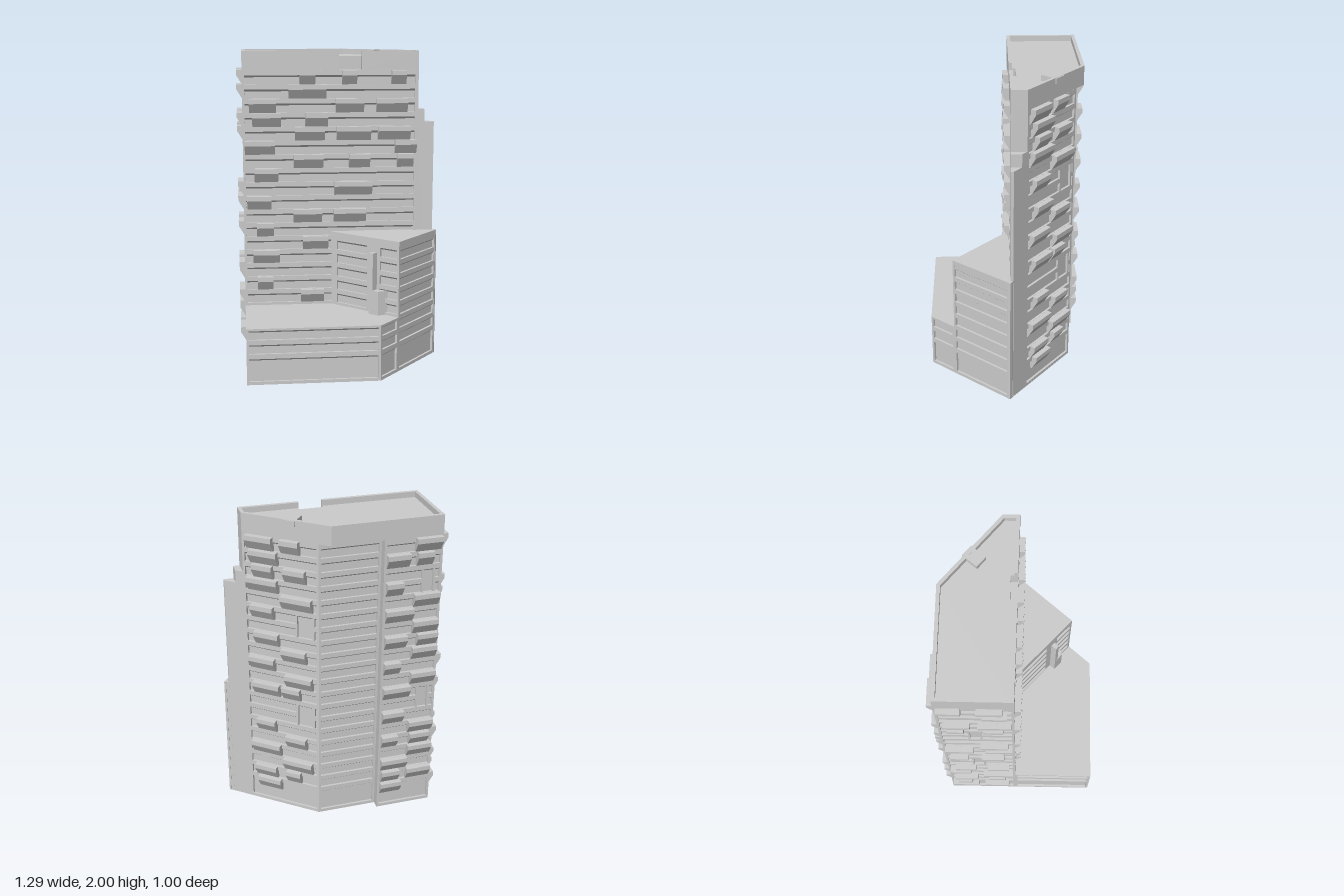
import * as THREE from 'three';

const mat = new THREE.MeshStandardMaterial({ color: 0xcccccc, flatShading: true, side: THREE.DoubleSide });
const D = 0.015;                              // depth of the window strips
const rowTop = k => 1.936 - 0.0886 * k;       // top of the window strip on floor k
const rowBottom = k => (k === 20 ? 0.02 : rowTop(k) - 0.058);

function add(parent, geo, name) {
  const m = new THREE.Mesh(geo, mat);
  m.name = name;
  parent.add(m);
  return m;
}

// upright prism over a plan of [x, z] points
function prism(parent, plan, y0, y1, name) {
  const shape = new THREE.Shape(plan.map(([x, z]) => new THREE.Vector2(x, -z)));
  const geo = new THREE.ExtrudeGeometry(shape, { depth: y1 - y0, bevelEnabled: false });
  return add(parent, geo.rotateX(-Math.PI / 2).translate(0, y0, 0), name);
}

// profile of [z, y] points swept along a wall from u0 to u1
function sweep(parent, profile, u0, u1, name) {
  const shape = new THREE.Shape(profile.map(([z, y]) => new THREE.Vector2(-z, y)));
  const geo = new THREE.ExtrudeGeometry(shape, { depth: u1 - u0, bevelEnabled: false });
  return add(parent, geo.rotateY(Math.PI / 2).translate(u0, 0, 0), name);
}

// wall from p to q (outside on the right-hand side), with window strips,
// two-storey openings [u0, u1, floor] and wedge balconies [floor, u0, u1]
function facade(parent, name, p, q, y0, y1, opt = {}) {
  const { rows = [], spans, tall = [], balconies = [], depth = D } = opt;
  const dx = q[0] - p[0], dz = q[1] - p[1], L = Math.hypot(dx, dz);
  const g = new THREE.Group();
  g.name = name;
  g.position.set(p[0], 0, p[1]);
  g.rotation.y = Math.atan2(-dz, dx);
  parent.add(g);

  const rect = (u0, u1, a, b) => [[u0, a], [u1, a], [u1, b], [u0, b]].map(v => new THREE.Vector2(...v));
  const holes = [];
  for (const k of rows) {
    let parts = spans || [[0.015, L - 0.015]];
    for (const [a, b, t] of tall) {
      if (k === t || k === t + 1) parts = parts.flatMap(([s, e]) => [[s, a - 0.012], [b + 0.012, e]]);
    }
    for (const [s, e] of parts) holes.push([s, e, rowBottom(k), rowTop(k)]);
  }
  for (const [a, b, t] of tall) holes.push([a, b, rowBottom(t + 1), rowTop(t)]);

  const shape = new THREE.Shape(rect(0, L, y0, y1));
  for (const h of holes) shape.holes.push(new THREE.Path(rect(...h)));
  add(g, new THREE.ExtrudeGeometry(shape, { depth, bevelEnabled: false }).translate(0, 0, -depth), 'wallPanel');

  for (const [s, e, b, t] of holes) {
    add(g, new THREE.PlaneGeometry(e - s, t - b).translate((s + e) / 2, (t + b) / 2, -D), 'windowStrip');
    sweep(g, [[0, t], [-D, t], [-D, t - 0.012]], s, e, 'slopedLintel');
  }
  for (const [k, s, e] of balconies) {
    const t = rowTop(k);
    sweep(g, [[-D, t + 0.03], [0.035, t + 0.03], [0.035, t], [0, t - 0.058], [-D, t - 0.058]], s, e, 'balcony');
  }
  return g;
}

const range = (a, b) => Array.from({ length: b - a + 1 }, (_, i) => a + i);

export function createModel() {
  const model = new THREE.Group();
  model.name = 'apartmentTower';
  const tower = new THREE.Group(), podium = new THREE.Group(), wing = new THREE.Group();
  tower.name = 'tower'; podium.name = 'podium'; wing.name = 'cornerWing';
  model.add(tower, podium, wing);

  // ---- tower walls below the crown ----
  const floors = range(1, 20), H = 1.88;
  const FL = [-0.612, -0.025], FR = [0.51, -0.013], SR = [0.51, -0.112];
  const SB = [0.13, -0.42], M = [-0.25, -0.42], N = [-0.25, -0.47], BL = [-0.612, -0.47];

  const frontBalconies = [
    [1, -0.25, -0.15], [1, 0.02, 0.115], [1, 0.335, 0.43], [2, -0.32, -0.08],
    [3, -0.57, -0.4], [3, -0.02, 0.16], [3, 0.24, 0.44], [4, -0.55, -0.37], [4, -0.215, -0.07],
    [5, -0.28, -0.09], [5, -0.015, 0.205], [5, 0.25, 0.46], [6, -0.6, -0.41], [6, 0.36, 0.5],
    [7, -0.29, -0.1], [7, 0.065, 0.2], [7, 0.375, 0.48], [8, -0.54, -0.39], [9, -0.03, 0.215],
    [10, -0.59, -0.435], [11, -0.295, -0.11], [11, -0.035, 0.175], [12, -0.53, -0.42],
    [13, -0.235, -0.07], [14, -0.555, -0.385], [16, -0.53, -0.43], [17, -0.25, -0.1],
  ].map(([k, a, b]) => [k, a + 0.612, b + 0.612]);
  facade(tower, 'frontWall', FL, FR, 0, H, { rows: floors, spans: [[0.015, 1.1]], balconies: frontBalconies });
  facade(tower, 'endWall', FR, SR, 0, H);

  const slantBalconies = [
    ...[1, 2, 3, 4, 6, 8, 10, 12, 15, 17, 19, 20].map((k, i) => [k, 0.03 + (i % 3) * 0.02, 0.2 + (i % 2) * 0.03]),
    ...[1, 3, 5, 7, 9, 11, 12, 16, 18, 19].map((k, i) => [k, 0.25 + (i % 2) * 0.02, 0.37 + (i % 3) * 0.04]),
  ].filter(([k, a]) => !(k === 7 && a > 0.2));
  facade(tower, 'slantedWall', SR, SB, 0, H, {
    rows: floors, tall: [[0.35, 0.45, 6], [0.35, 0.45, 13]], balconies: slantBalconies,
  });
  facade(tower, 'recessedBackWall', SB, M, 0, H, { rows: floors });
  facade(tower, 'recessCheek', M, N, 0, H);
  const backBalconies = floors.map((k, i) => (i % 2 ? [k, 0.015, 0.12 + (i % 3) * 0.035] : [k, 0.19, 0.35]))
    .filter(([k, a]) => a < 0.1 || ![3, 4, 12, 13].includes(k));
  backBalconies.push([2, 0.2, 0.3], [8, 0.22, 0.35], [16, 0.2, 0.33], [19, 0.02, 0.14]);
  facade(tower, 'backWall', N, BL, 0, H, {
    rows: floors, tall: [[0.25, 0.31, 3], [0.25, 0.31, 12]], balconies: backBalconies,
  });
  const sideBalconies = [
    ...[1, 2, 4, 5, 9, 10, 12, 15, 17, 18, 20].map((k, i) => [k, 0.235 + (i % 2) * 0.03, 0.38 + (i % 3) * 0.025]),
    ...[1, 4, 5, 10, 12, 15, 16, 18, 19, 20].map((k, i) => [k, 0.015 + (i % 3) * 0.02, 0.15 + (i % 2) * 0.04]),
  ];
  facade(tower, 'sideWall', BL, FL, 0, H, {
    rows: floors, tall: [[0.18, 0.24, 6], [0.18, 0.24, 13]], balconies: sideBalconies,
  });
  prism(tower, [[-0.6, -0.037], [0.5, -0.025], [0.5, -0.11], [0.125, -0.41], [-0.26, -0.41], [-0.26, -0.46], [-0.6, -0.46]],
    1.865, H, 'topFloorSlab');

  // stepped sharp tip
  prism(tower, [[0.5, -0.013], [0.612, -0.012], [0.612, -0.03], [0.5, -0.121]], 0, 1.55, 'tipPier');
  prism(tower, [[0.5, -0.013], [0.55, -0.013], [0.55, -0.08], [0.5, -0.121]], 1.55, 1.63, 'tipStep');

  // ---- crown: roof, parapet, front notch, roof box ----
  const crown = new THREE.Group();
  crown.name = 'crown';
  tower.add(crown);
  const CB = [0.07, -0.47], top = { rows: [0], depth: 0.022 };
  facade(crown, 'parapetFrontA', FL, [0, -0.018], H, 2, top);
  facade(crown, 'parapetFrontB', [0.145, -0.017], FR, H, 2, top);
  facade(crown, 'parapetEnd', FR, SR, H, 2, { depth: 0.022 });
  facade(crown, 'parapetSlanted', SR, CB, H, 2, { ...top, spans: [[0.015, 0.49]] });
  facade(crown, 'parapetBack', CB, BL, H, 2, { ...top, spans: [[0.335, 0.667]] });
  facade(crown, 'parapetSide', BL, FL, H, 2, top);
  prism(crown, [[-0.596, -0.041], [0, -0.034], [0, -0.06], [0.145, -0.06], [0.145, -0.033], [0.494, -0.029],
    [0.494, -0.105], [0.065, -0.454], [-0.596, -0.454]], H, 1.965, 'roof');
  prism(crown, [[0.18, -0.25], [0.25, -0.335], [0.31, -0.285], [0.24, -0.2]], 1.965, 1.999, 'roofBox');

  // ---- podium ----
  const PL = [-0.612, 0.49], PF = [0.21, 0.49], W = [0.34, 0.34], E = [0.64, -0.01];
  const low = { rows: [18, 19, 20] };
  facade(podium, 'podiumSide', FL, PL, 0, 0.355, low);
  facade(podium, 'podiumFront', PL, PF, 0, 0.355, low);
  facade(podium, 'podiumDiagonal', PF, W, 0, 0.355, low);
  prism(podium, [FL, PL, PF, W, [0.5, -0.03]], 0.343, 0.355, 'podiumRoof');
  prism(podium, [BL, PL, PF, E, [0.6, -0.04], SB, M, N], 0, 0.01, 'base');

  // ---- corner wing ----
  const S = [-0.05, -0.018];
  facade(wing, 'wingDiagonal', W, E, 0, 0.84, { rows: range(13, 20), spans: [[0.015, 0.435]] });
  facade(wing, 'wingFront', S, W, 0.34, 0.84, { rows: range(13, 17), spans: [[0.045, 0.285], [0.385, 0.515]] });
  prism(wing, [S, W, E, [0.61, -0.03], [0.5, -0.05]], 0.828, 0.84, 'wingRoof');
  facade(wing, 'wingReturn', E, [0.6, -0.035], 0, 0.84);

  // stair box standing against the wing
  prism(wing, [[0.205, 0.19], [0.165, 0.237], [0.187, 0.255], [0.23, 0.215]], 0.355, 0.75, 'stairBoxUpper');
  prism(wing, [[0.205, 0.19], [0.165, 0.237], [0.218, 0.285], [0.28, 0.265]], 0.355, 0.51, 'stairBoxLower');
  return model;
}
